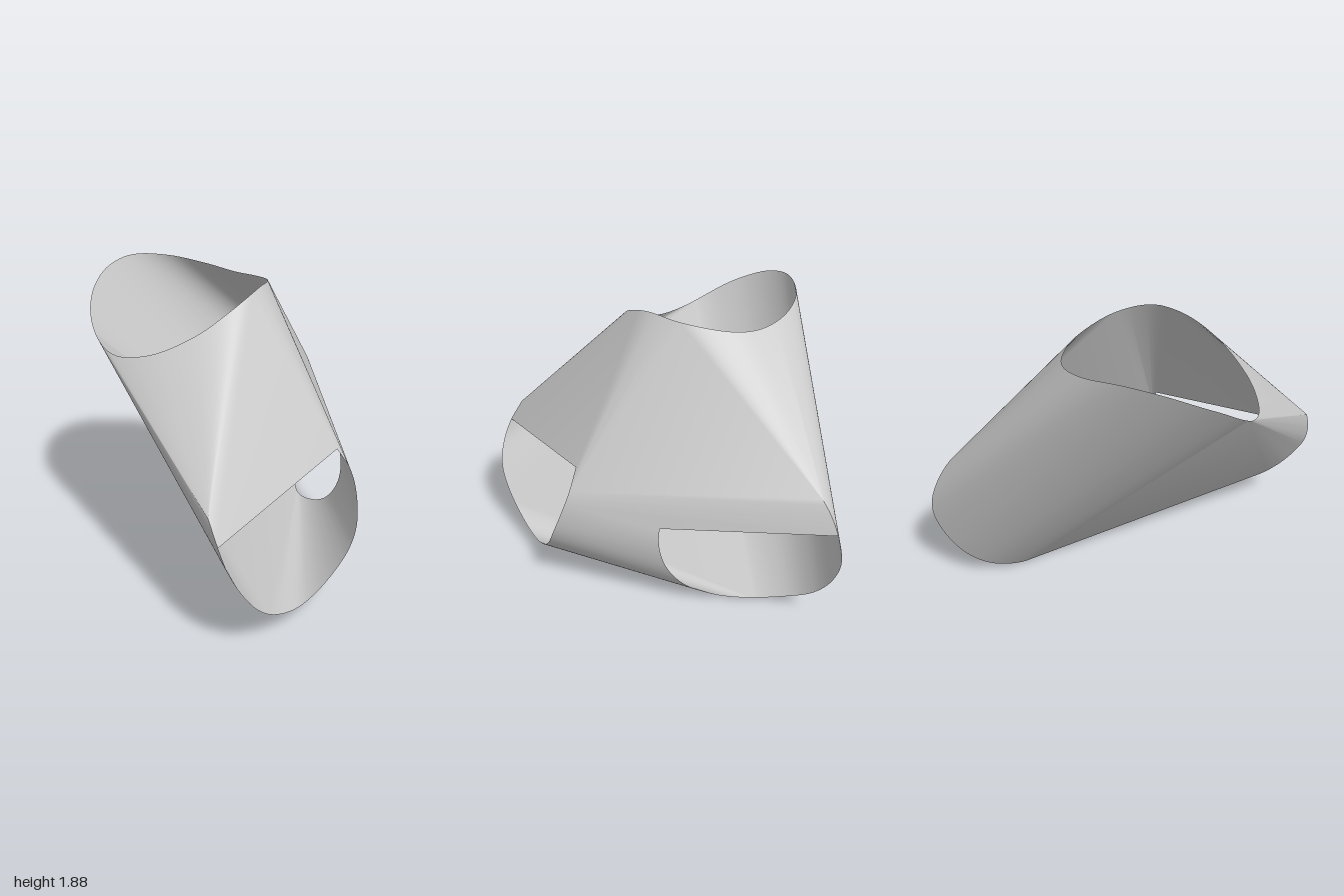
import * as THREE from 'three';
import { toCreasedNormals } from 'three/addons/utils/BufferGeometryUtils.js';
import { ConvexGeometry } from 'three/addons/geometries/ConvexGeometry.js';

// Rims of the three openings, as points [x, y, z] along a smooth curve
const topRim = [
  [0.135, 1.78, -0.4], [0.03, 1.833, -0.1], [-0.14, 1.855, 0.055], [-0.28, 1.82, 0.113],
  [-0.42, 1.76, 0.13], [-0.6, 1.66, 0.098], [-0.8, 1.55, -0.03], [-0.9, 1.505, -0.16],
  [-0.96, 1.49, -0.3], [-0.977, 1.53, -0.46], [-0.955, 1.605, -0.6], [-0.9, 1.69, -0.725],
  [-0.8, 1.775, -0.85], [-0.65, 1.85, -0.95], [-0.45, 1.885, -1], [-0.2, 1.853, -0.955],
  [0, 1.8, -0.8], [0.108, 1.767, -0.6],
];
const sideRim = [
  [0.53, 1.14, -0.44], [0.425, 1.075, -0.2], [0.41, 0.92, 0.01], [0.425, 0.78, 0.11],
  [0.455, 0.55, 0.165], [0.467, 0.35, 0.125], [0.47, 0.17, 0.0], [0.49, 0.05, -0.2],
  [0.53, 0, -0.42], [0.68, 0.08, -0.66], [0.82, 0.2, -0.77], [0.95, 0.4, -0.83],
  [1, 0.6, -0.84], [0.89, 0.9, -0.77], [0.72, 1.07, -0.65],
];
// The front rim is an open arc; its ends are joined by a straight edge
const frontRim = [
  [-1, 0.905, 0.8], [-0.998, 0.75, 0.9], [-0.97, 0.6, 0.965], [-0.9, 0.46, 1],
  [-0.8, 0.33, 0.985], [-0.65, 0.21, 0.94], [-0.43, 0.135, 0.877], [-0.2, 0.19, 0.835],
  [0, 0.34, 0.808], [0.08, 0.48, 0.78], [0.12, 0.68, 0.71], [0.11, 0.8, 0.66], [0.05, 0.93, 0.6],
];

const key = (x, y, z) => [x, y, z].map(Math.fround).join();

function sample(points, closed, count) {
  const curve = new THREE.CatmullRomCurve3(points.map(p => new THREE.Vector3(...p)), closed);
  const result = curve.getSpacedPoints(count);
  if (closed) result.pop();
  return result;
}

// Taut skin stretched around the rims: their convex hull without the caps over each opening
function stretchSkin(rims) {
  const rimOf = new Map();
  rims.forEach((rim, i) => rim.forEach(p => rimOf.set(key(p.x, p.y, p.z), i)));
  const hull = new ConvexGeometry(rims.flat()).getAttribute('position');
  const kept = [];
  for (let i = 0; i < hull.count; i += 3) {
    const corners = [i, i + 1, i + 2].map(j => [hull.getX(j), hull.getY(j), hull.getZ(j)]);
    const ids = corners.map(c => rimOf.get(key(...c)));
    if (ids[0] !== ids[1] || ids[1] !== ids[2]) kept.push(...corners.flat());
  }
  const geometry = new THREE.BufferGeometry();
  geometry.setAttribute('position', new THREE.Float32BufferAttribute(kept, 3));
  geometry.computeVertexNormals();
  return toCreasedNormals(geometry, 0.4);
}

export function createModel() {
  const group = new THREE.Group();
  group.name = 'threeWayShell';
  const material = new THREE.MeshStandardMaterial({ color: 0xcccccc, side: THREE.DoubleSide });
  const skin = new THREE.Mesh(
    stretchSkin([sample(topRim, true, 90), sample(sideRim, true, 90), sample(frontRim, false, 70)]),
    material
  );
  skin.name = 'stretchedSkin';
  group.add(skin);
  return group;
}
